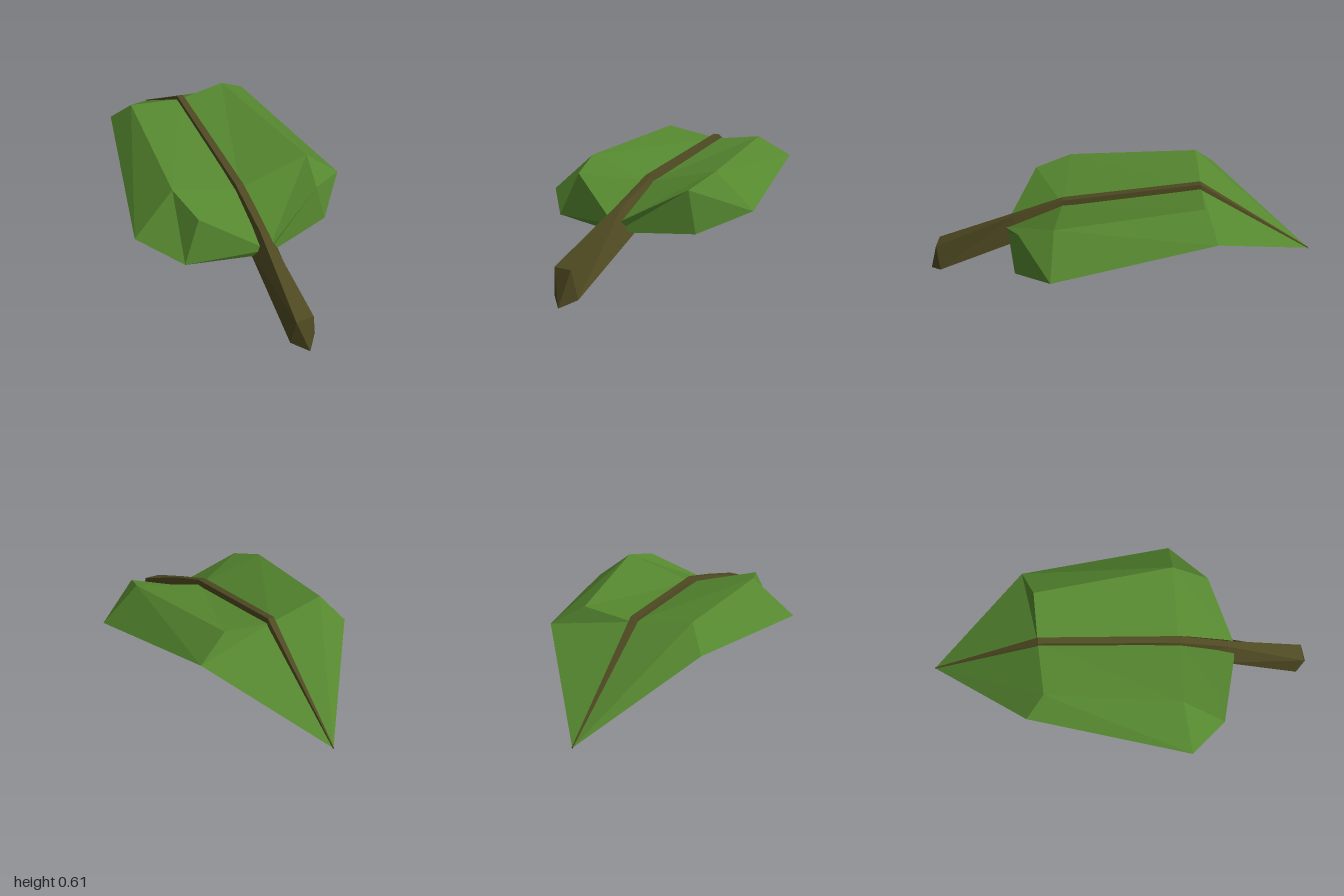
import * as THREE from 'three';

// Flat-shaded mesh from a list of polygons (each fanned from its first corner)
function facetMesh(name, polygons, material) {
  const pos = [];
  for (const p of polygons) {
    for (let i = 1; i < p.length - 1; i++) pos.push(...p[0], ...p[i], ...p[i + 1]);
  }
  const geo = new THREE.BufferGeometry();
  geo.setAttribute('position', new THREE.Float32BufferAttribute(pos, 3));
  geo.computeVertexNormals();
  const mesh = new THREE.Mesh(geo, material);
  mesh.name = name;
  return mesh;
}

// Centre line of the blade: upper crease and underside, from base to tip
const top = [[0, 0.28, 0.58], [0, 0.43, 0.27], [-0.005, 0.55, -0.43]];
const under = [[0, 0.24, 0.565], [0, 0.345, 0.28], [0, 0.485, -0.5]];
const tip = [0.01, 0.215, -1];

// One half of the blade: raised shoulder and outer rim run from base to tip
function bladeHalf(name, shoulder, rim, flip, material) {
  const [c0, c1, c2] = top, [b0, b1, b2] = under;
  const [s0, s1, s2] = shoulder, [r0, r1, r2] = rim;
  const faces = [
    [c0, s0, s1, c1], [c1, s1, s2, c2], [c2, s2, r2, tip], // inner slope
    [b0, r0, s0, c0], [s0, r0, r1, s1], [s1, r1, r2, s2], // outer slope
    [b0, b1, r1, r0], [b1, b2, r2, r1], [b2, tip, r2], // underside
  ];
  return facetMesh(name, flip ? faces.map((f) => [...f].reverse()) : faces, material);
}

export function createModel() {
  const leafGreen = new THREE.MeshStandardMaterial({ color: 0x55872f });
  leafGreen.name = 'leafGreen';
  const stemBrown = new THREE.MeshStandardMaterial({ color: 0x4f4a22 });
  stemBrown.name = 'stemBrown';

  const group = new THREE.Group();
  group.name = 'leaf';

  group.add(bladeHalf('leftBlade',
    [[0.325, 0.455, 0.45], [0.37, 0.518, 0.27], [0.245, 0.58, -0.44]],
    [[0.375, 0.26, 0.47], [0.565, 0.35, 0.27], [0.4, 0.482, -0.505]],
    false, leafGreen));
  group.add(bladeHalf('rightBlade',
    [[-0.3, 0.47, 0.445], [-0.35, 0.53, 0.26], [-0.295, 0.605, -0.405]],
    [[-0.39, 0.26, 0.485], [-0.565, 0.34, 0.3], [-0.38, 0.5, -0.5]],
    true, leafGreen));

  // Stem and midrib: five-sided rings (keel, left, upper left, upper right, right)
  const rings = [
    [[0, 0, 1], [0.06, 0.03, 0.935], [0.035, 0.165, 0.95], [-0.055, 0.165, 0.95], [-0.07, 0.025, 0.935]],
    [[0, 0.222, 0.5], [0.075, 0.235, 0.52], [0.012, 0.355, 0.53], [-0.02, 0.355, 0.53], [-0.07, 0.25, 0.52]],
    [[0, 0.31, 0.3], [0.048, 0.34, 0.28], [0.015, 0.46, 0.27], [-0.022, 0.46, 0.27], [-0.055, 0.34, 0.28]],
    [[0, 0.455, -0.5], [0.03, 0.48, -0.48], [0.008, 0.575, -0.425], [-0.025, 0.575, -0.425], [-0.036, 0.48, -0.48]],
    [[0.01, 0.211, -1], [0.013, 0.214, -1], [0.012, 0.219, -1], [0.008, 0.219, -1], [0.007, 0.214, -1]],
  ];
  const faces = [rings[0], [...rings[rings.length - 1]].reverse()];
  for (let i = 0; i < rings.length - 1; i++) {
    for (let j = 0; j < 5; j++) {
      const k = (j + 1) % 5;
      faces.push([rings[i][j], rings[i + 1][j], rings[i + 1][k], rings[i][k]]);
    }
  }
  group.add(facetMesh('stemAndMidrib', faces, stemBrown));

  return group;
}
